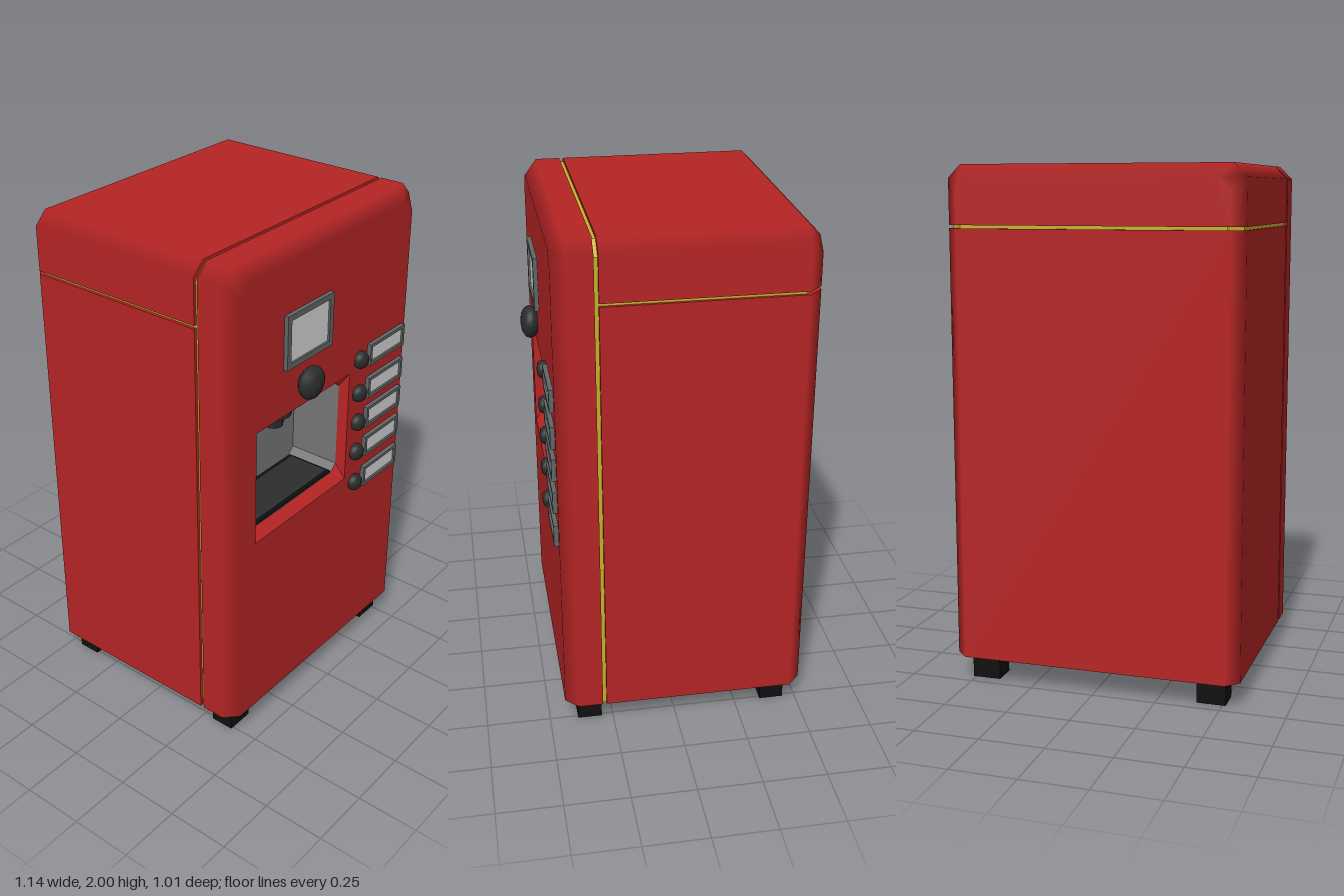
import * as THREE from 'three';

const mat = (name, color, side = THREE.FrontSide) => {
  const m = new THREE.MeshStandardMaterial({ color, side });
  m.name = name;
  return m;
};

export function createModel() {
  const red = mat('red', 0xb72525);
  const yellow = mat('yellow', 0xc6b52a, THREE.DoubleSide);
  const grey = mat('grey', 0x777777);
  const frameGrey = mat('frame grey', 0x636767);
  const white = mat('white', 0xd6d6d6);
  const dark = mat('charcoal', 0x2c2e2e);
  const black = mat('black', 0x101010);

  const model = new THREE.Group();
  model.name = 'drinkDispenser';
  const add = (name, geo, material, x = 0, y = 0, z = 0, parent = model) => {
    const mesh = new THREE.Mesh(geo, material);
    mesh.name = name;
    mesh.position.set(x, y, z);
    parent.add(mesh);
    return mesh;
  };
  const group = (name) => {
    const g = new THREE.Group();
    g.name = name;
    model.add(g);
    return g;
  };

  // Skin between rings of [x, y, z]; flat unless normals are given
  const loft = (rings, normals) => {
    const n = rings[0].length, index = [];
    for (let r = 0; r + 1 < rings.length; r++)
      for (let i = 0; i + 1 < n; i++) {
        const a = r * n + i, b = a + 1, c = a + n, d = c + 1;
        index.push(a, c, b, b, c, d);
      }
    let geo = new THREE.BufferGeometry();
    geo.setAttribute('position', new THREE.Float32BufferAttribute(rings.flat(2), 3));
    geo.setIndex(index);
    if (normals) geo.setAttribute('normal', new THREE.Float32BufferAttribute(normals.flat(2), 3));
    else {
      geo = geo.toNonIndexed();
      geo.computeVertexNormals();
    }
    return geo;
  };
  const shapeOf = (pts) => new THREE.Shape(pts.map((p) => new THREE.Vector2(p[0], p[1])));
  const rect = (x0, x1, y0, y1) => [[x0, y0], [x1, y0], [x1, y1], [x0, y1]];

  // Cabinet outlines seen from the front, counter-clockwise from the lower right
  const W = 0.57, C = 0.05, FRONT = 0.44, BACK = -0.51, FOOT = 0.1;
  const hood = (y0) => [[W, y0], [W, 2 - C], [W - C, 2], [C - W, 2], [-W, 2 - C], [-W, y0]];
  const inset = (path, d) =>
    path.map(([x, y]) => [x - Math.sign(x) * d, y > 1.9 ? y - d : y]);
  const ring = (path, z, d = 0) => inset(path, d).map(([x, y]) => [x, y, z]);
  const outward = (path) =>
    path.map(([x, y]) => (y > 1.99 ? [0, 1, 0] : [Math.sign(x), 0, 0]));
  const facing = (path, s) => path.map(() => [0, 0, s]);
  const cap = (path, z, back) => {
    const g = new THREE.ShapeGeometry(shapeOf(path));
    if (back) g.rotateY(Math.PI);
    return g.translate(0, 0, z);
  };

  // Door shell with chamfered rim
  const door = group('door');
  const full = hood(FOOT);
  add('doorRim', loft(
    [ring(full, FRONT, C), ring(full, FRONT - C), ring(full, 0.295)],
    [facing(full, 1), outward(full), outward(full)]), red, 0, 0, 0, door);
  add('doorLip', loft([ring(full, 0.295), ring(full, 0.295, 0.03)]), red, 0, 0, 0, door);
  const face = shapeOf(inset(full, C));
  face.holes.push(shapeOf(rect(-0.43, 0.145, 0.885, 1.355)));
  add('doorFace', new THREE.ShapeGeometry(face), red, 0, 0, FRONT, door);

  // Main cabinet and lid, split by a horizontal seam
  const cabinet = group('cabinet');
  const shell = (name, path) => {
    add(name, loft(
      [ring(path, 0.28), ring(path, BACK + C), ring(path, BACK, C)],
      [outward(path), outward(path), facing(path, -1)]), red, 0, 0, 0, cabinet);
    add(name + 'Lip', loft([ring(path, 0.28, 0.03), ring(path, 0.28)]), red, 0, 0, 0, cabinet);
  };
  const SEAM0 = 1.765, SEAM1 = 1.777;
  shell('rightSide', [[-W, SEAM0], [-W, FOOT]]);
  shell('leftSide', [[W, FOOT], [W, SEAM0]]);
  shell('lid', hood(SEAM1));
  add('backPanel', cap(rect(C - W, W - C, FOOT, SEAM0), BACK, true), red, 0, 0, 0, cabinet);
  add('lidBack', cap(inset(hood(SEAM1), C), BACK, true), red, 0, 0, 0, cabinet);

  // Horizontal plates closing the cabinet and the seam (plan outline in x, z)
  const plan = (front, frontChamfer, d = 0) => {
    const w = W - d, b = BACK + d, f = frontChamfer;
    return shapeOf([[w, b + C], [w, front - f], [w - f, front], [f - w, front],
      [-w, front - f], [-w, b + C], [C - w, b], [w - C, b]]);
  };
  const plate = (name, shape, y, down) => {
    // plan y becomes z when facing down; mirror it when facing up
    const g = new THREE.ShapeGeometry(shape).rotateX(Math.PI / 2);
    if (!down) g.rotateZ(Math.PI);
    add(name, g, red, 0, y, 0, cabinet);
  };
  plate('base', plan(FRONT, C), FOOT, true);
  plate('cabinetTop', plan(0.28, 0.001), SEAM0, false);
  plate('lidUnderside', plan(0.28, 0.001), SEAM1, true);

  // Yellow gasket showing in the seams
  const gasket = group('gasket');
  add('doorGasket', loft([ring(full, 0.305, 0.012), ring(full, 0.27, 0.012)]), yellow, 0, 0, 0, gasket);
  const band = new THREE.ExtrudeGeometry(plan(0.285, 0.001, 0.012), { depth: 0.03, bevelEnabled: false });
  add('lidGasket', band.rotateX(Math.PI / 2), yellow, 0, 1.786, 0, gasket);

  // Dispensing niche: sloped red surround, grey liner, drip tray (clockwise rings face inward)
  const niche = group('niche');
  const octagon = (x0, x1, y0, y1, c) => [
    [x0, y0 + c], [x0, y1 - c], [x0 + c, y1], [x1 - c, y1],
    [x1, y1 - c], [x1, y0 + c], [x1 - c, y0], [x0 + c, y0], [x0, y0 + c]];
  const at = (path, z) => path.map(([x, y]) => [x, y, z]);
  const mouth = octagon(-0.43, 0.145, 0.885, 1.355, 0);
  const liner = octagon(-0.423, 0.135, 0.918, 1.328, 0.03);
  add('nicheSurround', loft([at(mouth, FRONT), at(liner, 0.4)]), red, 0, 0, 0, niche);
  add('nicheLiner', loft([at(liner, 0.4), at(liner, 0.19)]), grey, 0, 0, 0, niche);
  add('nicheBack', cap(liner.slice(0, 8), 0.19), grey, 0, 0, 0, niche);
  add('trayRim', new THREE.BoxGeometry(0.5, 0.008, 0.2), black, -0.144, 0.92, 0.297, niche);
  add('dripTray', new THREE.BoxGeometry(0.48, 0.008, 0.17), dark, -0.144, 0.922, 0.297, niche);

  // Nozzle
  add('nozzleCollar', new THREE.CylinderGeometry(0.068, 0.068, 0.06, 20), dark, -0.145, 1.298, 0.3, niche);
  add('nozzleTip', new THREE.CylinderGeometry(0.046, 0.035, 0.055, 20), dark, -0.145, 1.243, 0.3, niche);

  // Framed panels: display and drink labels
  const panel = (name, x, y, w, h, b) => {
    const g = group(name);
    const s = shapeOf(rect(-w / 2, w / 2, -h / 2, h / 2));
    s.holes.push(shapeOf(rect(b - w / 2, w / 2 - b, b - h / 2, h / 2 - b)));
    add('frame', new THREE.ExtrudeGeometry(s, { depth: 0.017, bevelEnabled: false }), frameGrey, x, y, FRONT, g);
    add('plate', new THREE.BoxGeometry(w - 2 * b, h - 2 * b, 0.008), white, x, y, FRONT + 0.005, g);
  };
  const knob = (name, profile, x, y) => {
    const pts = profile.map((p) => new THREE.Vector2(p[0], p[1]));
    add(name, new THREE.LatheGeometry(pts, 24).rotateX(Math.PI / 2), dark, x, y, FRONT);
  };
  panel('display', -0.142, 1.65, 0.275, 0.21, 0.022);
  knob('mainKnob', [[0.045, 0], [0.06, 0.013], [0.065, 0.03], [0.058, 0.046], [0.035, 0.06], [0, 0.065]], -0.145, 1.45);
  [1.395, 1.25, 1.12, 0.985, 0.843].forEach((y, i) => {
    panel('label' + (i + 1), 0.38, y, 0.24, 0.088, 0.013);
    knob('button' + (i + 1), [[0.034, 0], [0.035, 0.016], [0.026, 0.029], [0, 0.035]], 0.207, y);
  });

  // Feet
  for (const x of [-0.457, 0.457])
    for (const z of [0.342, -0.403])
      add('foot', new THREE.BoxGeometry(0.112, FOOT, 0.095), black, x, FOOT / 2, z);

  // Centre the depth between the knob and the back
  return model;
}
